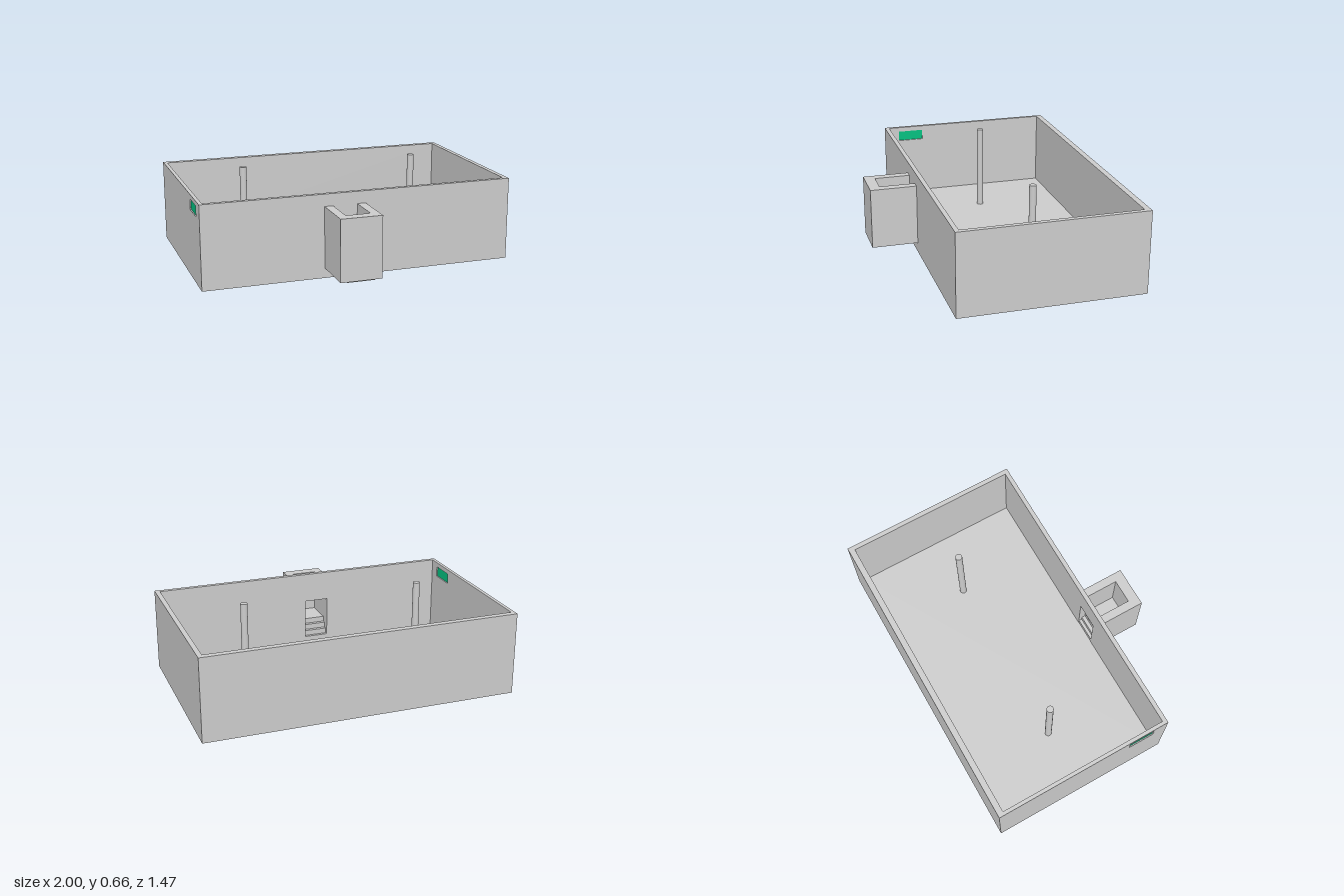
import * as THREE from 'three';

const grey = new THREE.MeshStandardMaterial({ color: 0xcccccc });
const green = new THREE.MeshStandardMaterial({ color: 0x00c080 });

// Outer and inner limits of the open-topped room
const OUT = { x0: -1, x1: 1, z0: -0.738, z1: 0.438 };
const IN = { x0: -0.977, x1: 0.97, z0: -0.7, z1: 0.41 };
const BOTTOM = 0.066, FLOOR = 0.11, TOP = 0.597;

// Doorway and stairwell limits
const DOOR = { x0: -0.181, x1: -0.026, top: 0.405 };
const WELL = { x0: -0.235, x1: 0.028, y0: 0.13, y1: 0.52, z1: 0.733, inner: 0.665 };

function mesh(name, geometry, material = grey) {
  const m = new THREE.Mesh(geometry, material);
  m.name = name;
  return m;
}

// Box given by its two opposite corners
function block(name, x0, x1, y0, y1, z0, z1, material) {
  const g = new THREE.BoxGeometry(x1 - x0, y1 - y0, z1 - z0);
  g.translate((x0 + x1) / 2, (y0 + y1) / 2, (z0 + z1) / 2);
  return mesh(name, g, material);
}

function rect(Type, a0, a1, b0, b1) {
  const r = new Type();
  r.moveTo(a0, b0).lineTo(a1, b0).lineTo(a1, b1).lineTo(a0, b1).closePath();
  return r;
}

// Rectangular wall with one rectangular opening
function piercedWall(a0, a1, b0, b1, hole, depth) {
  const s = rect(THREE.Shape, a0, a1, b0, b1);
  s.holes.push(rect(THREE.Path, ...hole));
  return new THREE.ExtrudeGeometry(s, { depth, bevelEnabled: false });
}

function createRoom() {
  const room = new THREE.Group();
  room.name = 'room';
  room.add(
    block('floor', IN.x0, IN.x1, BOTTOM, FLOOR, IN.z0, IN.z1),
    block('backWall', OUT.x0, OUT.x1, BOTTOM, TOP, OUT.z0, IN.z0),
    block('leftWall', IN.x1, OUT.x1, BOTTOM, TOP, IN.z0, IN.z1)
  );

  // Front wall with the doorway
  const front = piercedWall(OUT.x0, OUT.x1, BOTTOM, TOP,
    [DOOR.x0, DOOR.x1, FLOOR, DOOR.top], OUT.z1 - IN.z1);
  front.translate(0, 0, IN.z1);
  room.add(mesh('frontWall', front));

  // Right wall with the window, drawn along -z and turned to face sideways
  const win = { z0: 0.17, z1: 0.34, y0: 0.5, y1: 0.567 };
  const right = piercedWall(-IN.z1, -IN.z0, BOTTOM, TOP,
    [-win.z1, -win.z0, win.y0, win.y1], IN.x0 - OUT.x0);
  right.rotateY(Math.PI / 2).translate(OUT.x0, 0, 0);
  room.add(mesh('rightWall', right));
  room.add(block('windowPane', -0.993, -0.985, win.y0, win.y1, win.z0, win.z1, green));
  return room;
}

function createStairwell() {
  const well = new THREE.Group();
  well.name = 'stairwell';

  // U-shaped enclosure, open at the top and toward the doorway
  const u = new THREE.Shape([
    [WELL.x0, OUT.z1], [DOOR.x0, OUT.z1], [DOOR.x0, WELL.inner], [DOOR.x1, WELL.inner],
    [DOOR.x1, OUT.z1], [WELL.x1, OUT.z1], [WELL.x1, WELL.z1], [WELL.x0, WELL.z1]
  ].map(([x, z]) => new THREE.Vector2(x, -z)));
  const g = new THREE.ExtrudeGeometry(u, { depth: WELL.y1 - WELL.y0, bevelEnabled: false });
  g.rotateX(-Math.PI / 2).translate(0, WELL.y0, 0);
  well.add(mesh('stairwellWalls', g));
  well.add(block('stairwellBase', -0.19, -0.015, 0.122, 0.135, OUT.z1, 0.72));

  // Steps rising outward from the room floor to the landing
  const starts = [0.412, 0.432, 0.456, 0.48, WELL.inner];
  for (let i = 0; i < 4; i++) {
    const base = starts[i] < OUT.z1 ? FLOOR : WELL.y0;
    well.add(block(i < 3 ? `step${i + 1}` : 'landing', DOOR.x0, DOOR.x1,
      base, FLOOR + 0.035 * (i + 1), starts[i], starts[i + 1]));
  }
  return well;
}

export function createModel() {
  const model = new THREE.Group();
  model.name = 'openRoom';
  model.add(createRoom(), createStairwell());

  // Round posts passing through the floor
  [['leftPost', 0.568], ['rightPost', -0.588]].forEach(([name, x]) => {
    const post = mesh(name, new THREE.CylinderGeometry(0.022, 0.022, 0.66, 32));
    post.position.set(x, 0.33, -0.154);
    model.add(post);
  });
  return model;
}
